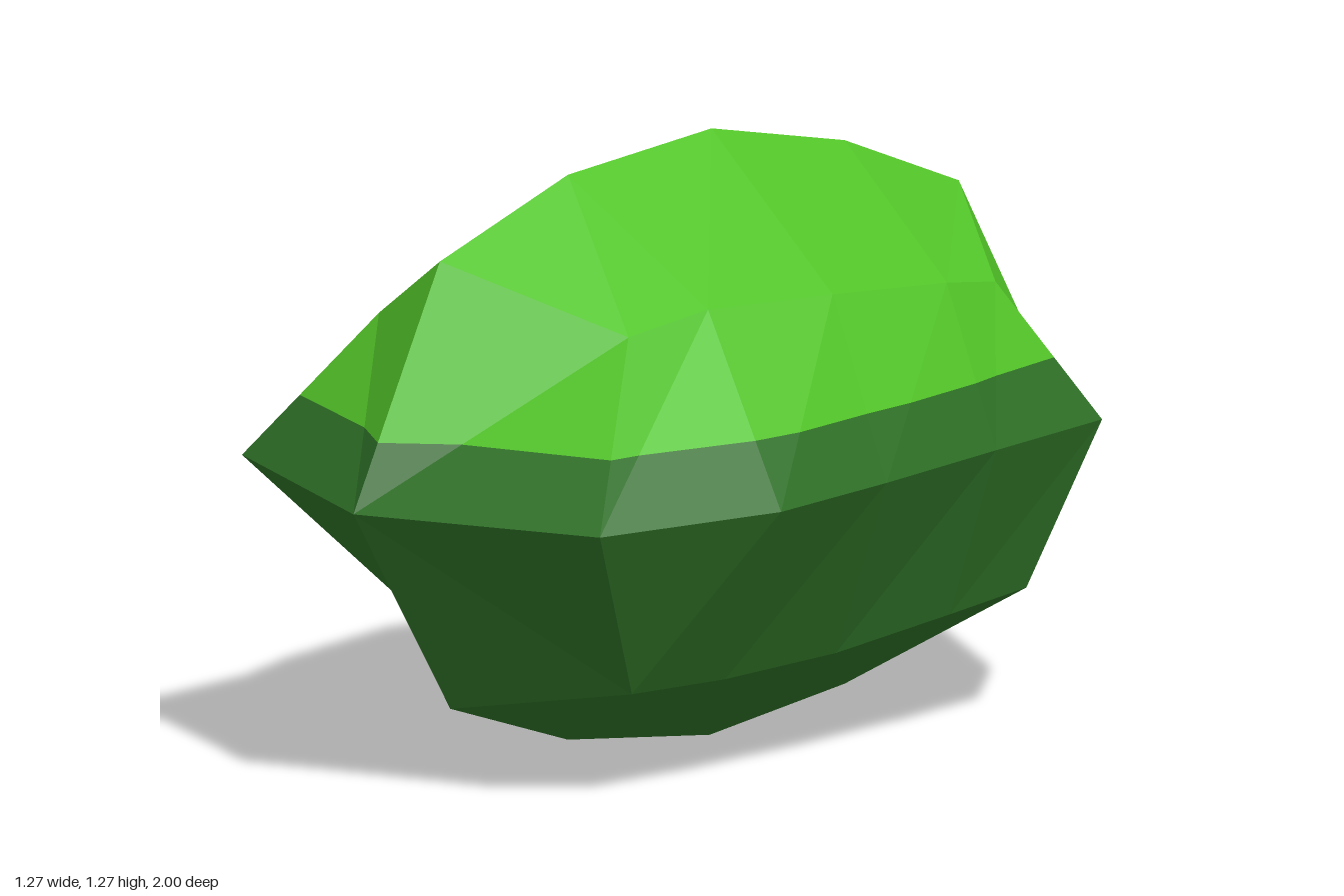
import * as THREE from 'three';

// Eight-sided cross-sections from front to back, each listed as
// top, upper -x, side -x, lower -x, bottom, lower +x, side +x, upper +x
const SECTIONS = [
  [[0, 1.11, 0.75], [-0.30, 0.94, 0.63], [-0.57, 0.62, 0.76], [-0.27, 0.34, 0.60],
    [0, 0.165, 0.72], [0.38, 0.23, 0.57], [0.54, 0.62, 0.82], [0.34, 0.97, 0.54]],
  [[-0.01, 1.235, 0.37], [-0.37, 1.00, 0.31], [-0.61, 0.62, 0.37], [-0.42, 0.22, 0.32],
    [0, 0.05, 0.38], [0.39, 0.225, 0.31], [0.635, 0.625, 0.39], [0.34, 0.995, 0.31]],
  [[-0.015, 1.27, -0.05], [-0.41, 1.04, -0.03], [-0.64, 0.62, 0.04], [-0.41, 0.21, -0.01],
    [0, 0, -0.03], [0.38, 0.23, -0.02], [0.58, 0.625, 0.03], [0.36, 0.98, -0.03]],
  [[-0.01, 1.19, -0.43], [-0.40, 1.02, -0.38], [-0.615, 0.62, -0.44], [-0.45, 0.19, -0.38],
    [0, 0.05, -0.42], [0.37, 0.26, -0.36], [0.505, 0.625, -0.36], [0.34, 0.95, -0.38]],
  [[0, 1.06, -0.75], [-0.37, 1.00, -0.57], [-0.47, 0.62, -0.79], [-0.42, 0.25, -0.60],
    [0, 0.19, -0.76], [0.34, 0.275, -0.61], [0.42, 0.62, -0.75], [0.30, 0.92, -0.56]],
];
const FRONT_TIP = [0, 0.615, 1];
const BACK_TIP = [0, 0.625, -1];
const COLOUR_LINE = 0.755;

// Keep the part of a polygon above (sign 1) or below (sign -1) the colour line
function clip(poly, sign) {
  const out = [];
  poly.forEach((a, i) => {
    const b = poly[(i + 1) % poly.length];
    const da = sign * (a[1] - COLOUR_LINE);
    const db = sign * (b[1] - COLOUR_LINE);
    if (da >= 0) out.push(a);
    if (da * db < 0) {
      const t = da / (da - db);
      out.push(a.map((v, k) => v + (b[k] - v) * t));
    }
  });
  return out;
}

// All triangles of the faceted body
function bodyTriangles() {
  const tris = [];
  const quad = (a, b, c, d) => tris.push([a, b, c], [a, c, d]);
  // flanks between neighbouring sections
  for (let i = 0; i < SECTIONS.length - 1; i++) {
    const f = SECTIONS[i], k = SECTIONS[i + 1];
    for (let j = 0; j < 8; j++) {
      const n = (j + 1) % 8;
      quad(f[j], k[j], k[n], f[n]);
    }
  }
  // four facets meeting at the tip of each end
  const first = SECTIONS[0], last = SECTIONS[SECTIONS.length - 1];
  for (let j = 0; j < 8; j += 2) {
    const n = j + 1, m = (j + 2) % 8;
    quad(FRONT_TIP, first[j], first[n], first[m]);
    quad(BACK_TIP, last[m], last[n], last[j]);
  }
  return tris;
}

function facetMesh(name, sign, material) {
  const positions = [];
  for (const tri of bodyTriangles()) {
    const poly = clip(tri, sign);
    for (let i = 1; i < poly.length - 1; i++) positions.push(...poly[0], ...poly[i], ...poly[i + 1]);
  }
  const geometry = new THREE.BufferGeometry();
  geometry.setAttribute('position', new THREE.Float32BufferAttribute(positions, 3));
  geometry.computeVertexNormals(); // unshared corners give flat facets
  const mesh = new THREE.Mesh(geometry, material);
  mesh.name = name;
  return mesh;
}

export function createModel() {
  const brightGreen = new THREE.MeshStandardMaterial({ color: 0x52c428 });
  brightGreen.name = 'brightGreen';
  const darkGreen = new THREE.MeshStandardMaterial({ color: 0x2e7026 });
  darkGreen.name = 'darkGreen';

  const group = new THREE.Group();
  group.name = 'facetedBush';
  group.add(facetMesh('upperFoliage', 1, brightGreen));
  group.add(facetMesh('lowerFoliage', -1, darkGreen));
  return group;
}
